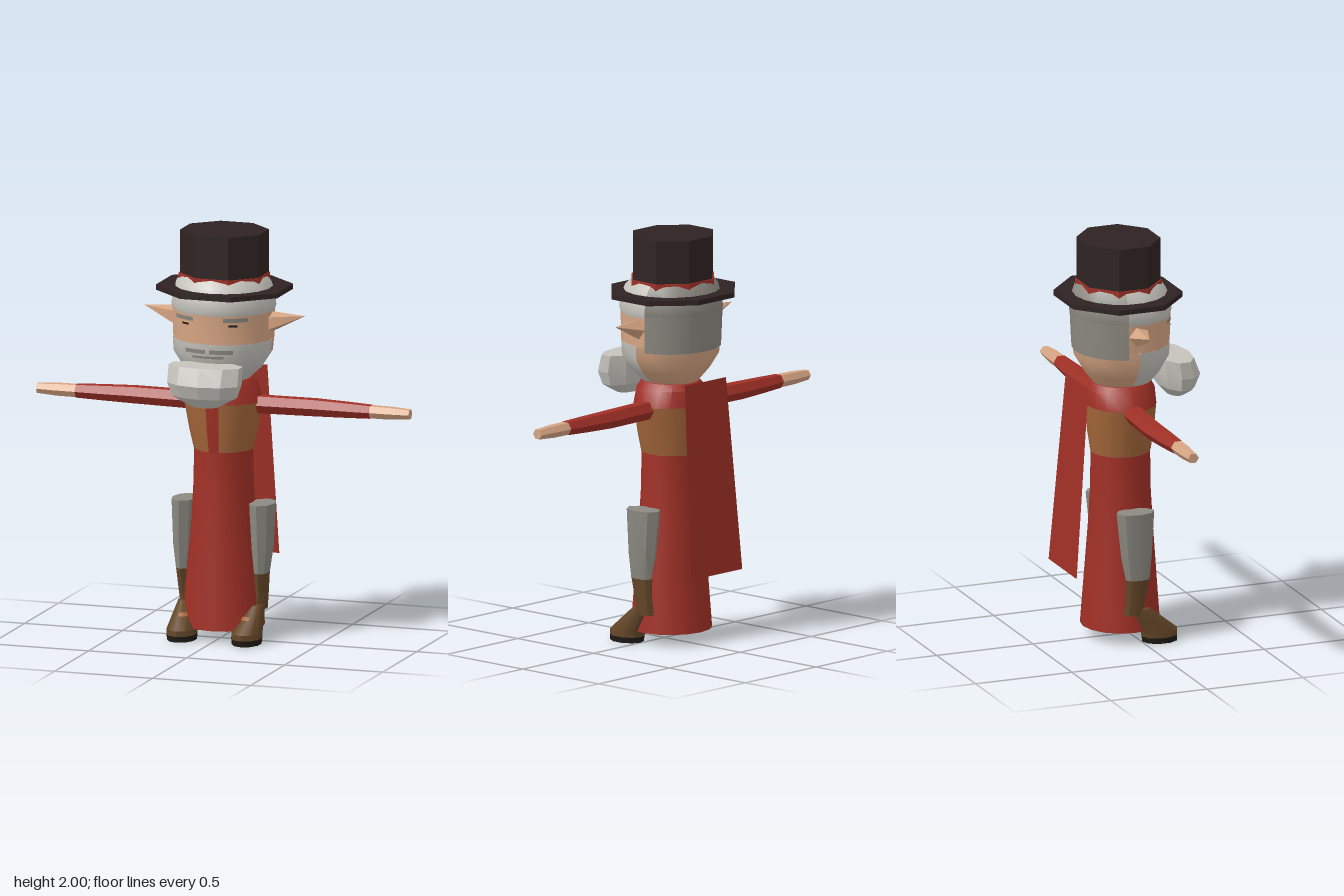
import * as THREE from 'three';
import { toCreasedNormals } from 'three/addons/utils/BufferGeometryUtils.js';

const mat = (name, color, side = THREE.FrontSide) => {
  const m = new THREE.MeshStandardMaterial({ color, side });
  m.name = name;
  return m;
};

// Lofts elliptical rings [y, rx, rz, cz, cx] from bottom to top, optionally over a partial arc.
function loft(rings, { n = 16, start = -Math.PI, arc = Math.PI * 2, crease = 0.7 } = {}) {
  const pos = [], idx = [];
  for (const [y, rx, rz, cz = 0, cx = 0] of rings) {
    for (let j = 0; j <= n; j++) {
      const a = start + (arc * j) / n;
      pos.push(cx + rx * Math.sin(a), y, cz + rz * Math.cos(a));
    }
  }
  for (let i = 0; i < rings.length - 1; i++) {
    for (let j = 0; j < n; j++) {
      const a = i * (n + 1) + j, c = a + n + 1;
      if (rings[i][1] > 0) idx.push(a, a + 1, c);
      if (rings[i + 1][1] > 0) idx.push(a + 1, c + 1, c);
    }
  }
  const g = new THREE.BufferGeometry();
  g.setAttribute('position', new THREE.Float32BufferAttribute(pos, 3));
  g.setIndex(idx);
  return toCreasedNormals(g, crease);
}

// Closes both ends of a ring list with flat caps.
const capped = (r) => {
  const end = ([y, , , cz, cx]) => [y, 0, 0, cz, cx];
  return [end(r[0]), ...r, end(r[r.length - 1])];
};

export function createModel() {
  const root = new THREE.Group();
  root.name = 'elderInTopHat';
  const red = mat('red cloth', 0xa03026, THREE.DoubleSide);
  const skin = mat('skin', 0xd6a583);
  const white = mat('white hair', 0xc6c3bc);
  const grey = mat('grey', 0x8c8981);
  const vest = mat('tan leather', 0xa4663a);
  const boot = mat('brown boot', 0x644628);
  const hat = mat('dark felt', 0x2e2322);
  const sole = mat('black', 0x1f1916);
  const add = (name, geo, m) => {
    const mesh = new THREE.Mesh(geo, m);
    mesh.name = name;
    root.add(mesh);
    return mesh;
  };
  const PI = Math.PI;

  // Robe, vest and collar
  add('robe', loft([
    [0.06, 0.2, 0.192, -0.047], [0.33, 0.18, 0.172, -0.046], [0.55, 0.158, 0.157, -0.045],
    [0.74, 0.147, 0.146, -0.045], [0.93, 0.142, 0.144, -0.045],
  ]), red);
  add('vest', loft([
    [0.93, 0.144, 0.146, -0.045], [1.03, 0.168, 0.16, -0.045], [1.17, 0.195, 0.17, -0.045],
  ]), vest);
  add('vestStripe', loft([
    [0.93, 0.149, 0.15, -0.045], [1.03, 0.173, 0.164, -0.045], [1.17, 0.2, 0.174, -0.045],
  ], { n: 4, start: -0.17, arc: 0.34 }), red);
  add('collar', loft([
    [1.17, 0.195, 0.17, -0.045], [1.25, 0.168, 0.165, -0.045], [1.28, 0.14, 0.145, -0.04], [1.28, 0, 0, -0.04],
  ]), red);

  // Flat cape hanging behind the back
  const cape = new THREE.PlaneGeometry(1, 1);
  const cp = cape.attributes.position;
  for (let i = 0; i < cp.count; i++) {
    const s = Math.sign(cp.getX(i));
    if (cp.getY(i) > 0) cp.setXYZ(i, s * 0.145, 1.3, -0.27);
    else cp.setXYZ(i, s * 0.18, 0.36, -0.345);
  }
  cape.computeVertexNormals();
  add('cape', cape, red);

  // Head: whiskered jaw, skin nape, face and back hair
  const jaw = [
    [1.28, 0, 0, -0.035], [1.28, 0.13, 0.145, -0.035], [1.34, 0.195, 0.19, -0.038],
    [1.41, 0.241, 0.228, -0.04], [1.48, 0.247, 0.234, -0.043],
  ];
  const upper = [[1.48, 0.247, 0.234, -0.043], [1.62, 0.25, 0.24, -0.045]];
  add('whiskers', loft(jaw, { n: 8, start: -PI / 2, arc: PI }), white);
  add('nape', loft(jaw, { n: 8, start: PI / 2, arc: PI }), skin);
  add('face', loft(upper, { n: 10, start: -1.8, arc: 3.6 }), skin);
  add('backHair', loft([[1.45, 0.249, 0.236, -0.042], [1.48, 0.251, 0.238, -0.043], [1.64, 0.254, 0.244, -0.045]],
    { n: 8, start: 1.8, arc: 2 * PI - 3.6 }), grey);
  const cap = [
    [1.62, 0.25, 0.24, -0.045], [1.64, 0.256, 0.246, -0.045], [1.69, 0.252, 0.242, -0.046],
    [1.75, 0.232, 0.222, -0.05], [1.785, 0.203, 0.19, -0.054], [1.79, 0, 0, -0.054],
  ];
  add('frontHair', loft(cap, { n: 10, start: -1.8, arc: 3.6 }), white);
  add('crownHair', loft(cap, { n: 8, start: 1.8, arc: 2 * PI - 3.6 }), grey);

  // Thin face details wrapped on the head surface
  const facePatch = (name, y0, y1, start, arc, m) => add(name, loft([
    [y0, 0.252, 0.24, -0.043], [y1, 0.254, 0.243, -0.044],
  ], { n: 5, start, arc }), m);
  for (const s of [-1, 1]) {
    const at = (c, w) => [s * c - w / 2, w];
    facePatch('eyebrow', 1.592, 1.612, ...at(0.56, 0.5), grey);
    facePatch('eye', 1.57, 1.58, ...at(0.5, 0.18), sole);
    facePatch('moustache', 1.435, 1.455, ...at(0.27, 0.46), grey);
  }
  facePatch('lip', 1.412, 1.424, -0.32, 0.64, grey);

  // Jutting beard
  add('beard', loft(capped([
    [1.185, 0.07, 0.04, 0.235], [1.235, 0.165, 0.085, 0.235],
    [1.3, 0.188, 0.108, 0.238], [1.385, 0.188, 0.09, 0.22],
  ]), { n: 10, crease: 0.3 }), white);

  // Top hat, octagonal
  const oct = { n: 8, start: PI / 8, crease: 0.3 };
  add('hatBrim', loft(capped([[1.705, 0.335, 0.308, -0.057], [1.73, 0.335, 0.308, -0.057]]), oct), hat);
  add('hatBand', loft(capped([[1.72, 0.222, 0.207, -0.055], [1.79, 0.222, 0.207, -0.055]]), oct), red);
  add('hatCrown', loft(capped([[1.785, 0.217, 0.2, -0.055], [2, 0.217, 0.2, -0.055]]), oct), hat);

  for (const s of [-1, 1]) {
    // Pointed ear
    const ear = add('ear', loft([[0.2, 0.052, 0.055], [0.25, 0.05, 0.052], [0.41, 0, 0, -0.015, -s * 0.035]],
      { n: 5, crease: 0.3 }), skin);
    ear.rotation.z = -s * PI / 2;
    ear.position.set(0, 1.565, -0.045);

    // Hexagonal sleeve and hand
    const arm = new THREE.Group();
    arm.name = 'arm';
    const sleeve = add('sleeve', loft(capped([
      [0.12, 0.048, 0.052, -0.045], [0.3, 0.047, 0.05, -0.052], [0.46, 0.046, 0.05, -0.06],
      [0.62, 0.041, 0.046, -0.055], [0.75, 0.036, 0.038, -0.05],
    ]), { n: 6, crease: 0.3 }), red);
    const hand = add('hand', loft(capped([
      [0.74, 0.034, 0.036, -0.05], [0.85, 0.033, 0.036, -0.05], [0.95, 0.026, 0.028, -0.05],
    ]), { n: 6, crease: 0.3 }), skin);
    arm.add(sleeve, hand);
    arm.rotation.z = -s * PI / 2;
    arm.position.y = 1.155;
    root.add(arm);

    // Trouser leg, boot shaft and foot
    add('trouserLeg', loft(capped([
      [0.33, 0.036, 0.062, -0.035, s * 0.199], [0.45, 0.052, 0.08, -0.042, s * 0.2],
      [0.67, 0.063, 0.098, -0.047, s * 0.198],
    ]), { n: 8 }), grey);
    add('bootShaft', loft(capped([
      [0.15, 0.036, 0.05, -0.052, s * 0.185], [0.22, 0.033, 0.05, -0.046, s * 0.194],
      [0.335, 0.036, 0.062, -0.035, s * 0.199],
    ]), { n: 8 }), boot);
    add('sole', loft(capped([
      [0, 0.07, 0.09, 0.093, s * 0.165], [0.028, 0.073, 0.093, 0.091, s * 0.165],
    ]), { n: 10 }), sole);
    add('foot', loft(capped([
      [0.028, 0.073, 0.093, 0.091, s * 0.165], [0.055, 0.073, 0.095, 0.088, s * 0.165],
      [0.175, 0.036, 0.052, -0.018, s * 0.182],
    ]), { n: 10 }), boot);
    add('instepStrap', loft([
      [0.115, 0.058, 0.077, 0.035, s * 0.173], [0.13, 0.053, 0.071, 0.022, s * 0.175],
    ], { n: 4, start: -0.4 - s * 0.3, arc: 0.8 }), vest);
  }
  return root;
}
